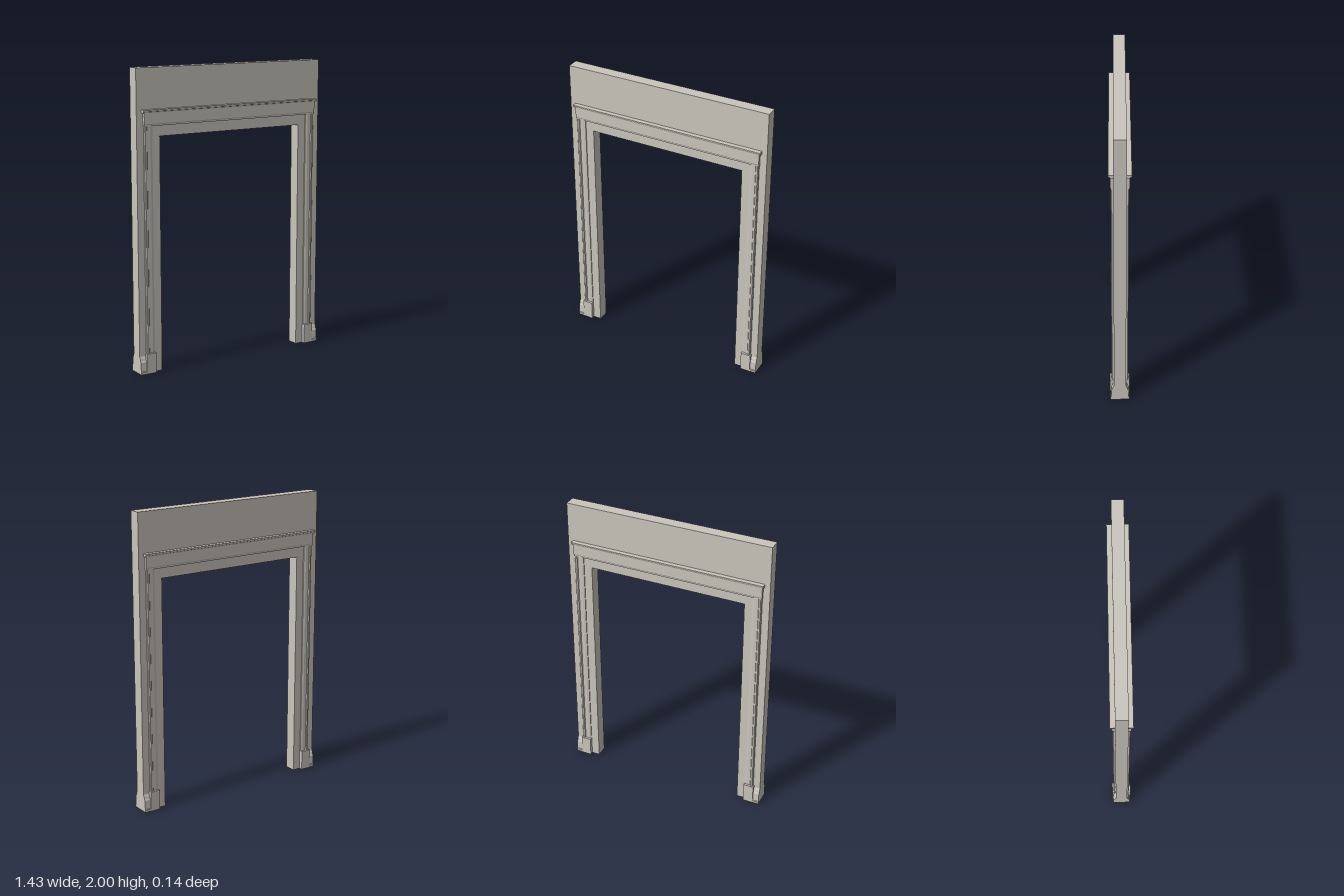
import * as THREE from 'three';

const W = 0.713, D = 0.04; // half width and half depth of the wall

const polygon = (points) => new THREE.Shape(points.map(([x, y]) => new THREE.Vector2(x, y)));

export function createModel() {
  const model = new THREE.Group();
  model.name = 'doorway';
  const plaster = new THREE.MeshStandardMaterial({ color: 0xcac6bd });
  plaster.name = 'warm grey plaster';

  const add = (parent, name, geometry) => {
    const mesh = new THREE.Mesh(geometry, plaster);
    mesh.name = name;
    parent.add(mesh);
    return mesh;
  };

  // Horizontal moulding: profile in (z, y), run along x from x0 to x1
  const horizontal = (points, x0, x1) =>
    new THREE.ExtrudeGeometry(polygon(points), { depth: x1 - x0, bevelEnabled: false })
      .rotateY(-Math.PI / 2).scale(1, 1, 1).translate(x1, 0, 0);

  // Vertical moulding: profile in (x, z), run along y from y0 to y1
  const vertical = (points, y0, y1) =>
    new THREE.ExtrudeGeometry(polygon(points.map(([x, z]) => [x, -z])), { depth: y1 - y0, bevelEnabled: false })
      .rotateX(-Math.PI / 2).translate(0, y0, 0);

  // Wall with door opening
  const wall = polygon([
    [-W, 0], [-0.545, 0], [-0.545, 1.56], [0.545, 1.56],
    [0.545, 0], [W, 0], [W, 2], [-W, 2],
  ]);
  add(model, 'wall', new THREE.ExtrudeGeometry(wall, { depth: 2 * D, bevelEnabled: false }).translate(0, 0, -D));

  // Moulding profiles
  const cornice = [
    [D, 1.715], [0.062, 1.715], [0.064, 1.722], [0.07, 1.724],
    [0.072, 1.728], [0.072, 1.735], [D, 1.735],
  ];
  const frieze = [[D, 1.63], [0.056, 1.63], [0.056, 1.638], [0.06, 1.645], [0.06, 1.715], [D, 1.715]];
  const skirting = [
    [D, 0], [0.063, 0], [0.063, 0.015], [0.059, 0.02], [0.056, 0.08],
    [0.051, 0.09], [0.047, 0.105], [0.042, 0.115], [D, 0.12],
  ];
  const architrave = [
    [0.602, D], [0.602, 0.046], [0.618, 0.05], [0.643, 0.05],
    [0.648, 0.056], [0.659, 0.056], [0.664, 0.05], [0.664, D],
  ];

  // The same trim on the front and back faces
  for (const side of ['front', 'back']) {
    const trim = new THREE.Group();
    trim.name = side + 'Trim';
    if (side === 'back') trim.rotation.y = Math.PI;
    model.add(trim);

    add(trim, 'cornice', horizontal(cornice, -0.677, 0.677));
    add(trim, 'frieze', horizontal(frieze, -0.667, 0.667));

    for (const s of [-1, 1]) {
      const label = s > 0 ? 'left' : 'right';
      const jamb = architrave.map(([x, z]) => [s * x, z]);
      add(trim, label + 'Architrave', vertical(jamb, 0.135, 1.63));

      // Plinth block under the architrave
      const block = new THREE.BoxGeometry(0.07, 0.135, 0.025);
      block.translate(s * 0.636, 0.0675, D + 0.0125);
      add(trim, label + 'PlinthBlock', block);

      // Short skirting between plinth block and wall end
      const [x0, x1] = s > 0 ? [0.671, W] : [-W, -0.671];
      add(trim, label + 'Skirting', horizontal(skirting, x0, x1));
    }
  }
  return model;
}
